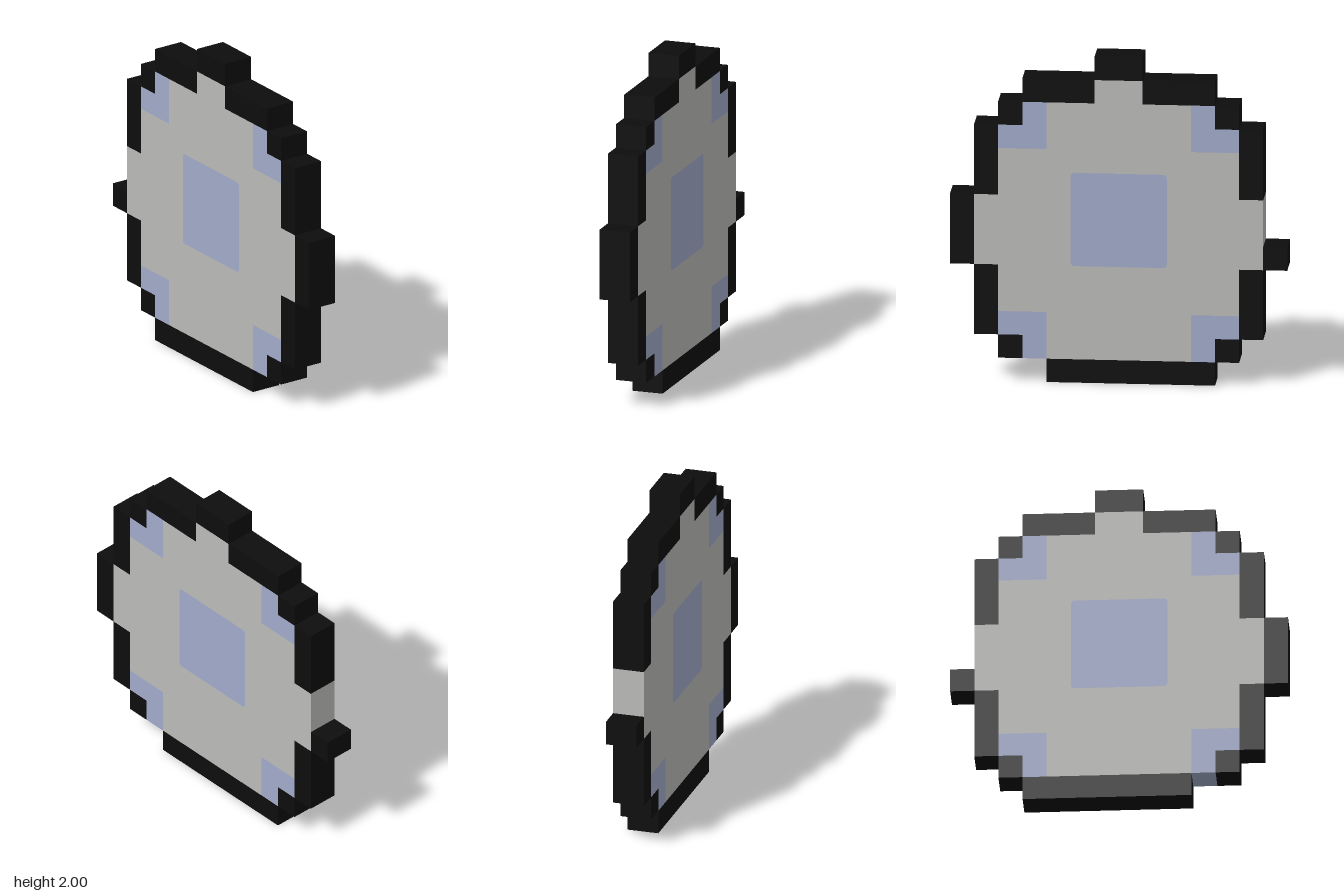
import * as THREE from 'three';

const CELL = 1 / 7;    // the disc is drawn on a 14 x 14 pixel grid
const DEPTH = 0.19;

function material(name, color) {
  const m = new THREE.MeshStandardMaterial({ color });
  m.name = name;
  return m;
}

export function createModel() {
  const black = material('rim black', 0x0d0d0d);
  const grey = material('stone grey', 0xbbbbb9);
  const blue = material('pale blue', 0xa2abca);
  const group = new THREE.Group();
  group.name = 'pixelDisc';

  // Closed outline from grid corners
  const outline = (points) =>
    new THREE.Shape(points.map(([x, y]) => new THREE.Vector2(x * CELL, y * CELL)));

  function slab(name, shape, mat) {
    const geo = new THREE.ExtrudeGeometry(shape, { depth: DEPTH, bevelEnabled: false, curveSegments: 4 });
    geo.translate(0, 0, -DEPTH / 2);
    const mesh = new THREE.Mesh(geo, mat);
    mesh.name = name;
    group.add(mesh);
  }

  function block(name, x0, x1, y0, y1) {
    const geo = new THREE.BoxGeometry((x1 - x0) * CELL, (y1 - y0) * CELL, DEPTH);
    const mesh = new THREE.Mesh(geo, black);
    mesh.position.set((x0 + x1) / 2 * CELL, (y0 + y1) / 2 * CELL, 0);
    mesh.name = name;
    group.add(mesh);
  }

  // Square with softened corners for the centre inlay
  function centreSquare(Type) {
    const s = new Type();
    const h = 2 * CELL, cy = 7 * CELL, r = 0.025;
    s.moveTo(-h + r, cy - h);
    s.lineTo(h - r, cy - h).quadraticCurveTo(h, cy - h, h, cy - h + r);
    s.lineTo(h, cy + h - r).quadraticCurveTo(h, cy + h, h - r, cy + h);
    s.lineTo(-h + r, cy + h).quadraticCurveTo(-h, cy + h, -h, cy + h - r);
    s.lineTo(-h, cy - h + r).quadraticCurveTo(-h, cy - h, -h + r, cy - h);
    return s;
  }

  // Grey face, running right through the disc
  const half = [[3, 1], [3, 3], [5, 3], [5, 5], [6, 5], [6, 8], [5, 8], [5, 10], [3, 10], [3, 12], [1, 12], [1, 13]];
  const mirrored = half.map(([x, y]) => [-x, y]).reverse();
  const face = outline([...half, ...mirrored]);
  face.holes.push(centreSquare(THREE.Path));
  slab('face', face, grey);
  slab('centreInlay', centreSquare(THREE.Shape), blue);

  // L-shaped corner inlays and the rim blocks that repeat on both sides
  for (const [side, s] of [['left', 1], ['right', -1]]) {
    const sideBlock = (name, a, b, y0, y1) =>
      block(side + name, Math.min(a * s, b * s), Math.max(a * s, b * s), y0, y1);
    const lower = [[3, 1], [4, 1], [4, 2], [5, 2], [5, 3], [3, 3]];
    slab(side + 'LowerInlay', outline(lower.map(([x, y]) => [x * s, y])), blue);
    slab(side + 'UpperInlay', outline(lower.map(([x, y]) => [x * s, 13 - y])), blue);
    sideBlock('LowerCorner', 4, 5, 1, 2);
    sideBlock('LowerRim', 5, 6, 2, 5);
    sideBlock('UpperRim', 5, 6, 8, 11);
    sideBlock('UpperCorner', 4, 5, 11, 12);
    sideBlock('TopRim', 1, 4, 12, 13);
  }

  // Rim blocks that differ from side to side
  block('topBlock', -1, 1, 13, 14);
  block('bottomRim', -4, 3, 0, 1);
  block('leftSideBlock', 6, 7, 5, 8);
  block('rightSideBlock', -7, -6, 5, 6);

  return group;
}
